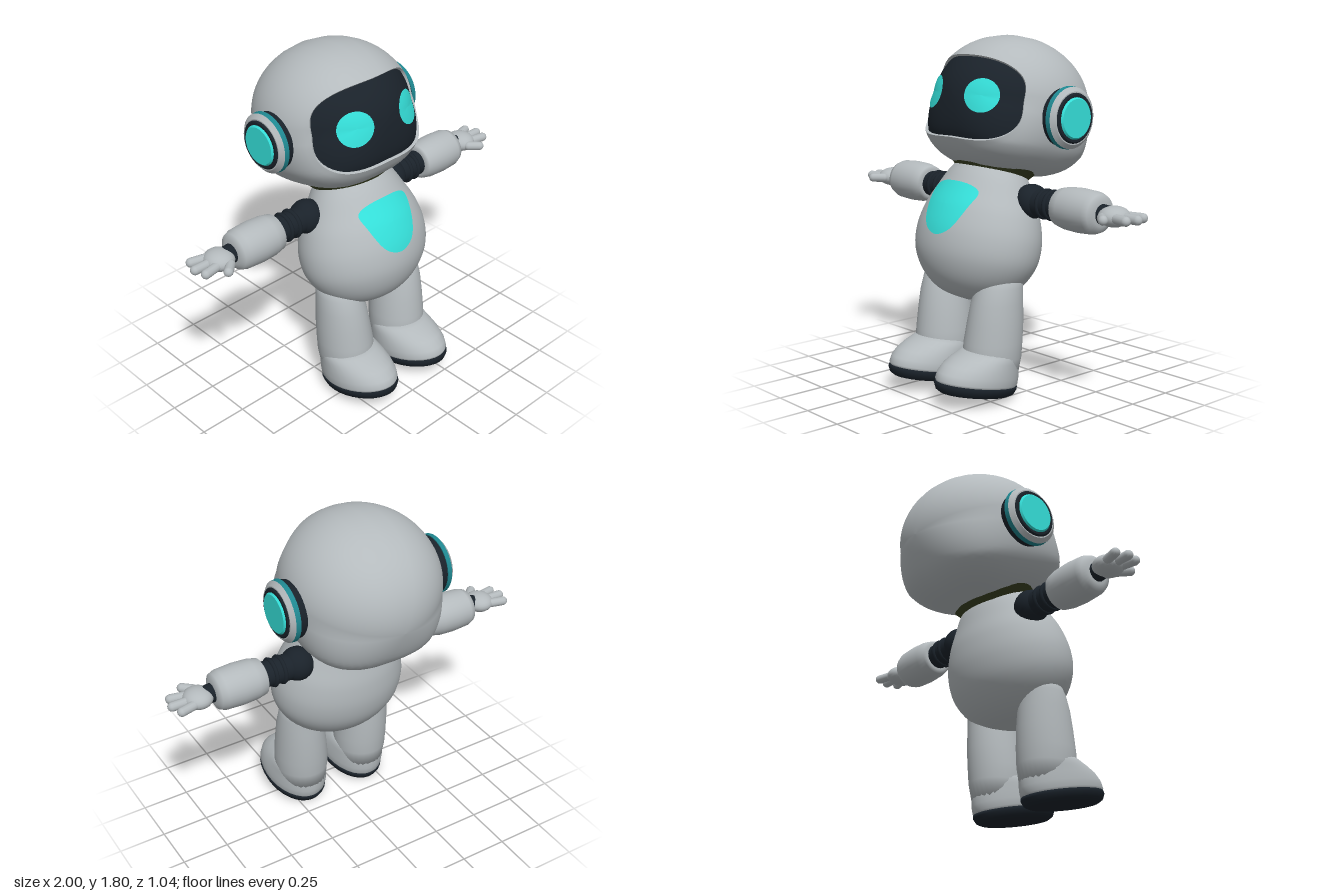
import * as THREE from 'three';

const mat = (name, color) => {
  const m = new THREE.MeshStandardMaterial({ color });
  m.name = name;
  return m;
};

export function createModel() {
  const shell = mat('greyShell', 0xb4babd);
  const dark = mat('darkRubber', 0x1a222a);
  const glow = mat('cyanGlow', 0x35e0da);
  const teal = mat('tealTrim', 0x1f8790);
  const olive = mat('oliveCollar', 0x3a4122);

  const TILT = 0.22; // the whole figure leans back
  const model = new THREE.Group();
  model.name = 'robot';

  const group = (name, y, z, tilt = TILT, parent = model) => {
    const g = new THREE.Group();
    g.name = name;
    g.position.set(0, y, z);
    g.rotation.x = -tilt;
    parent.add(g);
    return g;
  };
  const add = (parent, name, geo, material, x = 0, y = 0, z = 0) => {
    const m = new THREE.Mesh(geo, material);
    m.name = name;
    m.position.set(x, y, z);
    parent.add(m);
    return m;
  };

  // Skin of rings: fn(u, v) gives a point, u along the rings, v around (closed)
  const skin = (nu, nv, fn) => {
    const pos = [], idx = [];
    for (let i = 0; i <= nu; i++)
      for (let j = 0; j < nv; j++) pos.push(...fn(i / nu, j / nv));
    for (let i = 0; i < nu; i++)
      for (let j = 0; j < nv; j++) {
        const k = (j + 1) % nv;
        const a = i * nv + j, b = a + nv, c = (i + 1) * nv + k, d = i * nv + k;
        idx.push(a, b, c, a, c, d);
      }
    const g = new THREE.BufferGeometry();
    g.setAttribute('position', new THREE.Float32BufferAttribute(pos, 3));
    g.setIndex(idx);
    g.computeVertexNormals();
    return g;
  };

  // Loft through elliptical sections [y, centreX, centreZ, radiusX, radiusZ]
  const loft = (sections, side = 1) => {
    const first = sections[0], last = sections[sections.length - 1];
    const all = [[...first.slice(0, 3), 0, 0], ...sections, [...last.slice(0, 3), 0, 0]];
    return skin(all.length - 1, 32, (u, v) => {
      const [y, cx, cz, rx, rz] = all[Math.round(u * (all.length - 1))];
      const a = v * Math.PI * 2;
      return [side * cx + rx * Math.cos(a), y, cz + rz * Math.sin(a)];
    });
  };

  // ---- Head: rounded shell with a face opening ----
  const RX = 0.4, RY = 0.355, RZ = 0.41;
  const headPoint = (a, b, c, k = 1) => {
    const n = 2 + 0.7 * Math.min(1, Math.max(0, -b * 2)); // fuller jaw
    const s = k / Math.pow(Math.abs(a) ** n + Math.abs(b) ** n + Math.abs(c) ** n, 1 / n);
    return [a * s * RX, b * s * RY, c * s * RZ];
  };
  const polar = (theta, phi, k) =>
    headPoint(Math.sin(theta) * Math.cos(phi), Math.sin(theta) * Math.sin(phi), Math.cos(theta), k);
  const opening = (v) => {
    const c = Math.cos(v * Math.PI * 2), s = Math.sin(v * Math.PI * 2), e = 2 / 2.8;
    const a = 0.335 / RX * Math.sign(c) * Math.abs(c) ** e;
    const b = 0.2 / RY * Math.sign(s) * Math.abs(s) ** e;
    return [Math.asin(Math.min(1, Math.hypot(a, b))), Math.atan2(b, a)];
  };
  const onHead = (x, y, k) => {
    const a = x / RX, b = y / RY;
    return headPoint(a, b, Math.sqrt(Math.max(0, 1 - a * a - b * b)), k);
  };

  const head = group('head', 1.45, -0.11);
  add(head, 'headShell', skin(28, 72, (u, v) => {
    const [t, p] = opening(v);
    return polar(t + (Math.PI - t) * u, p);
  }), shell);
  add(head, 'visorRim', skin(1, 72, (u, v) => polar(...opening(v), 0.95 + 0.05 * u)), shell);
  add(head, 'visor', skin(12, 72, (u, v) => {
    const [t, p] = opening(v);
    return polar(t * u, p, 0.965);
  }), dark);

  for (const s of [1, -1]) {
    add(head, 'eye', skin(4, 32, (u, v) => {
      const a = v * Math.PI * 2;
      return onHead(s * 0.172 + 0.085 * u * Math.cos(a), 0.004 + 0.085 * u * Math.sin(a), 0.977);
    }), glow);

    // Ear: stacked discs facing sideways
    const ear = new THREE.Group();
    ear.name = 'ear';
    ear.position.set(s * 0.36, -0.032, -0.01);
    ear.rotation.z = -s * Math.PI / 2;
    head.add(ear);
    const disc = (name, r0, r1, y0, y1, m) =>
      add(ear, name, new THREE.CylinderGeometry(r1, r0, y1 - y0, 40), m, 0, (y0 + y1) / 2);
    disc('earBase', 0.14, 0.15, 0, 0.055, dark);
    disc('earTrim', 0.155, 0.152, 0.055, 0.08, teal);
    disc('earRing', 0.152, 0.13, 0.08, 0.1, shell);
    disc('earGroove', 0.124, 0.116, 0.1, 0.108, dark);
    disc('earLight', 0.103, 0.095, 0.108, 0.117, glow);
  }

  // ---- Neck collar ----
  const neck = group('neck', 1.125, 0.0);
  add(neck, 'collar', new THREE.CylinderGeometry(0.25, 0.19, 0.06, 40), olive).scale.z = 0.85;

  // ---- Body: lathe widened sideways ----
  const WIDE = 1.27;
  const profile = new THREE.SplineCurve([
    [0, -0.355], [0.13, -0.325], [0.22, -0.25], [0.275, -0.14], [0.285, -0.02],
    [0.262, 0.1], [0.222, 0.2], [0.175, 0.3], [0.13, 0.345], [0, 0.36],
  ].map(([x, y]) => new THREE.Vector2(x, y))).getPoints(54);
  profile.forEach((p) => { p.x = Math.max(0, p.x); });
  const bodyRadius = (y) => {
    const i = Math.max(1, profile.findIndex((p) => p.y >= y));
    const a = profile[i - 1], b = profile[i];
    return a.x + (b.x - a.x) * (y - a.y) / (b.y - a.y);
  };
  const body = group('body', 0.82, 0.1);
  add(body, 'torso', new THREE.LatheGeometry(profile, 48), shell).scale.x = WIDE;

  // Chest light hugging the torso
  const chestOutline = new THREE.CatmullRomCurve3([
    [0.16, 0.195], [0.1, 0.228], [-0.1, 0.228], [-0.16, 0.195], [-0.15, 0.13],
    [-0.09, 0.0], [0, -0.04], [0.09, 0.0], [0.15, 0.13],
  ].map(([x, y]) => new THREE.Vector3(x, y, 0)), true);
  add(body, 'chestLight', skin(8, 48, (u, v) => {
    const p = chestOutline.getPoint(v);
    const x = p.x * u, y = 0.12 + (p.y - 0.12) * u;
    return [x, y, Math.sqrt(bodyRadius(y) ** 2 - (x / WIDE) ** 2) + 0.007];
  }), glow);

  for (const s of [1, -1]) {
    // ---- Arm: local y runs outwards ----
    const arm = new THREE.Group();
    arm.name = 'arm';
    arm.position.set(s * 0.29, 1.0, 0.01);
    arm.rotation.z = -s * Math.PI / 2;
    model.add(arm);
    add(arm, 'shoulder', new THREE.SphereGeometry(0.088, 24, 16), dark);
    add(arm, 'upperArm', new THREE.CylinderGeometry(0.066, 0.07, 0.24, 24), dark, 0, 0.12);
    for (const y of [0.1, 0.15])
      add(arm, 'armRib', new THREE.TorusGeometry(0.066, 0.012, 8, 24), dark, 0, y).rotation.x = Math.PI / 2;
    add(arm, 'forearm', new THREE.LatheGeometry([
      [0, 0.2], [0.075, 0.2], [0.093, 0.21], [0.104, 0.26], [0.108, 0.34],
      [0.103, 0.43], [0.092, 0.46], [0.06, 0.475], [0, 0.475],
    ].map(([x, y]) => new THREE.Vector2(x, y)), 32), shell);
    add(arm, 'wrist', new THREE.CylinderGeometry(0.045, 0.05, 0.06, 20), dark, 0, 0.49);
    add(arm, 'palm', new THREE.SphereGeometry(1, 24, 16), shell, 0, 0.55).scale.set(0.05, 0.075, 0.08);
    const finger = (name, y, z, length, angle) => {
      const f = add(arm, name, new THREE.CapsuleGeometry(0.024, length, 6, 12), shell, 0, y, z);
      f.rotation.x = angle;
    };
    finger('finger', 0.63, -0.058, 0.07, -0.25);
    finger('finger', 0.645, -0.004, 0.082, 0);
    finger('finger', 0.635, 0.05, 0.07, 0.2);
    finger('thumb', 0.56, 0.092, 0.06, 0.75);

    // ---- Leg ----
    const leg = group('leg', 0, 0, 0);
    add(leg, 'legShell', loft([
      [0.13, 0.185, 0.185, 0.13, 0.14], [0.22, 0.188, 0.185, 0.143, 0.155],
      [0.3, 0.19, 0.178, 0.143, 0.152], [0.4, 0.195, 0.168, 0.135, 0.147],
      [0.5, 0.2, 0.16, 0.125, 0.136], [0.58, 0.205, 0.148, 0.112, 0.122],
      [0.65, 0.205, 0.13, 0.095, 0.105],
    ], s), shell);

    // ---- Foot with a dark sole, toe raised ----
    const foot = group('foot', 0.057, 0.295, 0.2, leg);
    add(foot, 'sole', loft([
      [-0.008, 0.185, 0, 0.13, 0.205], [0.005, 0.185, 0, 0.152, 0.228],
      [0.03, 0.185, 0, 0.162, 0.24], [0.045, 0.185, 0, 0.16, 0.238],
    ], s), dark);
    add(foot, 'shoe', loft([
      [0.04, 0.185, 0, 0.155, 0.23], [0.055, 0.185, 0, 0.162, 0.238],
      [0.09, 0.185, -0.004, 0.162, 0.234], [0.13, 0.185, -0.016, 0.158, 0.214],
      [0.165, 0.185, -0.036, 0.152, 0.184], [0.19, 0.186, -0.055, 0.147, 0.155],
      [0.215, 0.187, -0.07, 0.135, 0.13],
    ], s), shell);
  }
  return model;
}
